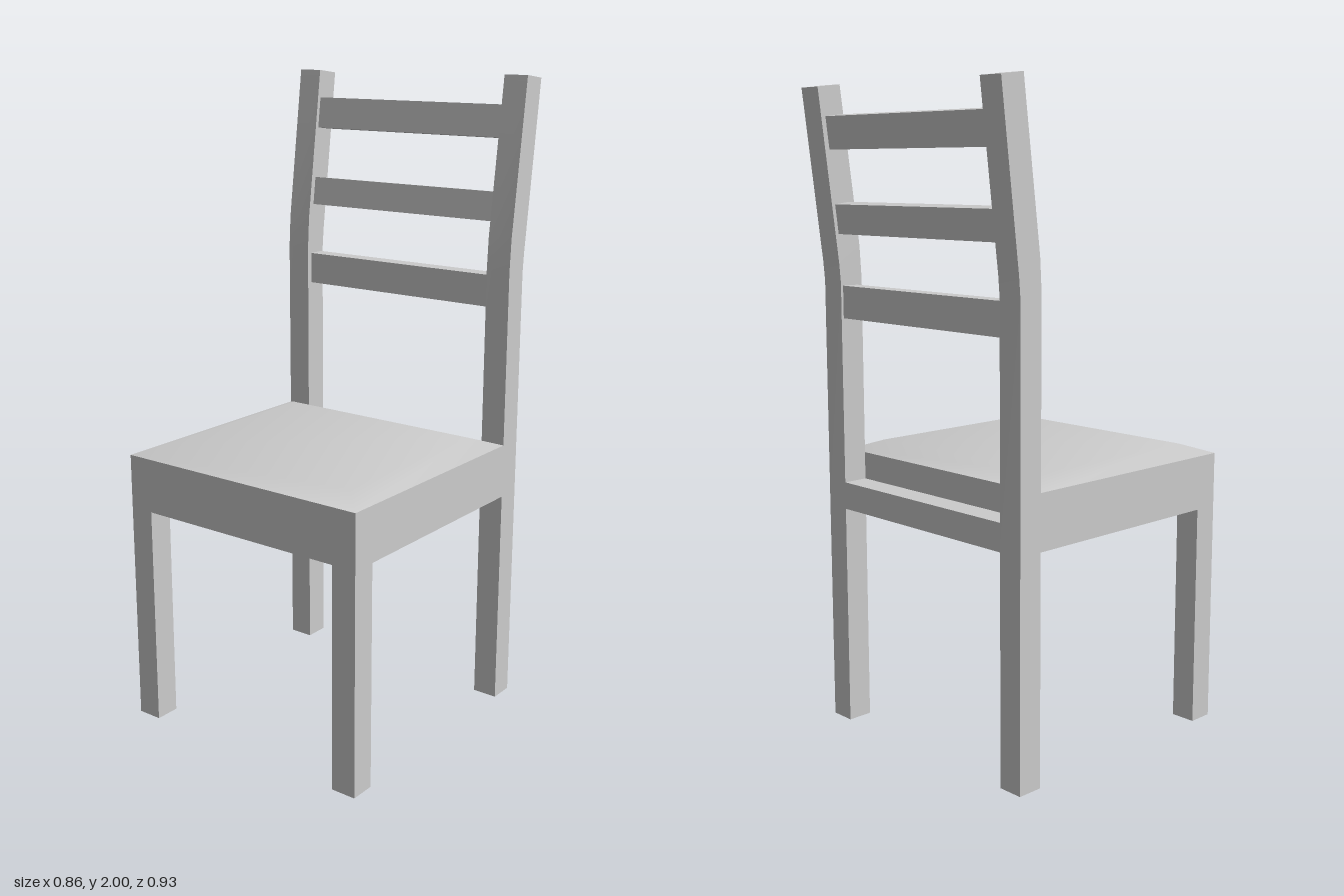
import * as THREE from 'three';
import { toCreasedNormals } from 'three/addons/utils/BufferGeometryUtils.js';

const W = 0.43, T = 0.08;            // half width, timber thickness
const FRONT = 0.465, BACK = -0.395;  // front and back of the frame
const REAR = BACK + T;               // front face of the back posts
const material = new THREE.MeshStandardMaterial({ color: 0xcccccc });

export function createModel() {
  const chair = new THREE.Group();
  chair.name = 'chair';

  const add = (name, geometry) => {
    const mesh = new THREE.Mesh(geometry, material);
    mesh.name = name;
    chair.add(mesh);
    return mesh;
  };
  // Box given by its limits on each axis
  const box = (name, x0, x1, y0, y1, z0, z1) =>
    add(name, new THREE.BoxGeometry(x1 - x0, y1 - y0, z1 - z0))
      .position.set((x0 + x1) / 2, (y0 + y1) / 2, (z0 + z1) / 2);

  // Back post side profile as (z, y): straight, then leaning back
  const profile = new THREE.Shape([
    [BACK, 0], [REAR, 0], [REAR, 1.42], [-0.321, 1.52], [-0.384, 2],
    [-0.465, 1.99], [-0.4, 1.47], [BACK, 1.41],
  ].map(([z, y]) => new THREE.Vector2(z, y)));
  const postGeometry = toCreasedNormals(
    new THREE.ExtrudeGeometry(profile, { depth: T, bevelEnabled: false })
      .translate(0, 0, -T / 2).rotateY(-Math.PI / 2), 0.4);

  // Legs, posts and side rails, mirrored left and right
  for (const [side, s] of [['left', 1], ['right', -1]]) {
    const x = s * (W - T / 2);
    add(side + 'BackPost', postGeometry).position.x = x;
    box(side + 'FrontLeg', x - T / 2, x + T / 2, 0, 0.785, FRONT - T, FRONT);
    box(side + 'SideRail', x - T / 2, x + T / 2, 0.7, 0.785, REAR, FRONT - T);
  }
  box('frontRail', T - W, W - T, 0.7, 0.785, FRONT - T, FRONT);
  box('backRail', T - W, W - T, 0.7, 0.785, BACK, REAR);

  // Seat: rectangular rings from the underside up to the inset top
  const rings = [[0.785, 0], [0.87, 0], [0.9, T]];
  const points = rings.flatMap(([y, i]) => [
    -W + i, y, FRONT - i, W - i, y, FRONT - i,
    W - i, y, REAR + i, -W + i, y, REAR + i]);
  const faces = [0, 3, 2, 0, 2, 1, 8, 9, 10, 8, 10, 11];
  for (let r = 0; r < 8; r += 4) {
    for (let i = 0; i < 4; i++) {
      const a = r + i, b = r + (i + 1) % 4;
      faces.push(a, b, b + 4, a, b + 4, a + 4);
    }
  }
  const seat = new THREE.BufferGeometry();
  seat.setAttribute('position', new THREE.Float32BufferAttribute(points, 3));
  seat.setIndex(faces);
  add('seat', toCreasedNormals(seat, 0.75));

  // Back slats, the upper two tilted with the posts: [y, z, height, tilt]
  [[1.35, -0.36, 0.1, 0], [1.605, -0.378, 0.09, -0.125], [1.86, -0.406, 0.098, -0.125]]
    .forEach(([y, z, height, tilt], i) => {
      const slat = add('backSlat' + (i + 1),
        new THREE.BoxGeometry(2 * (W - T), height, 0.054));
      slat.position.set(0, y, z);
      slat.rotation.x = tilt;
    });

  return chair;
}
